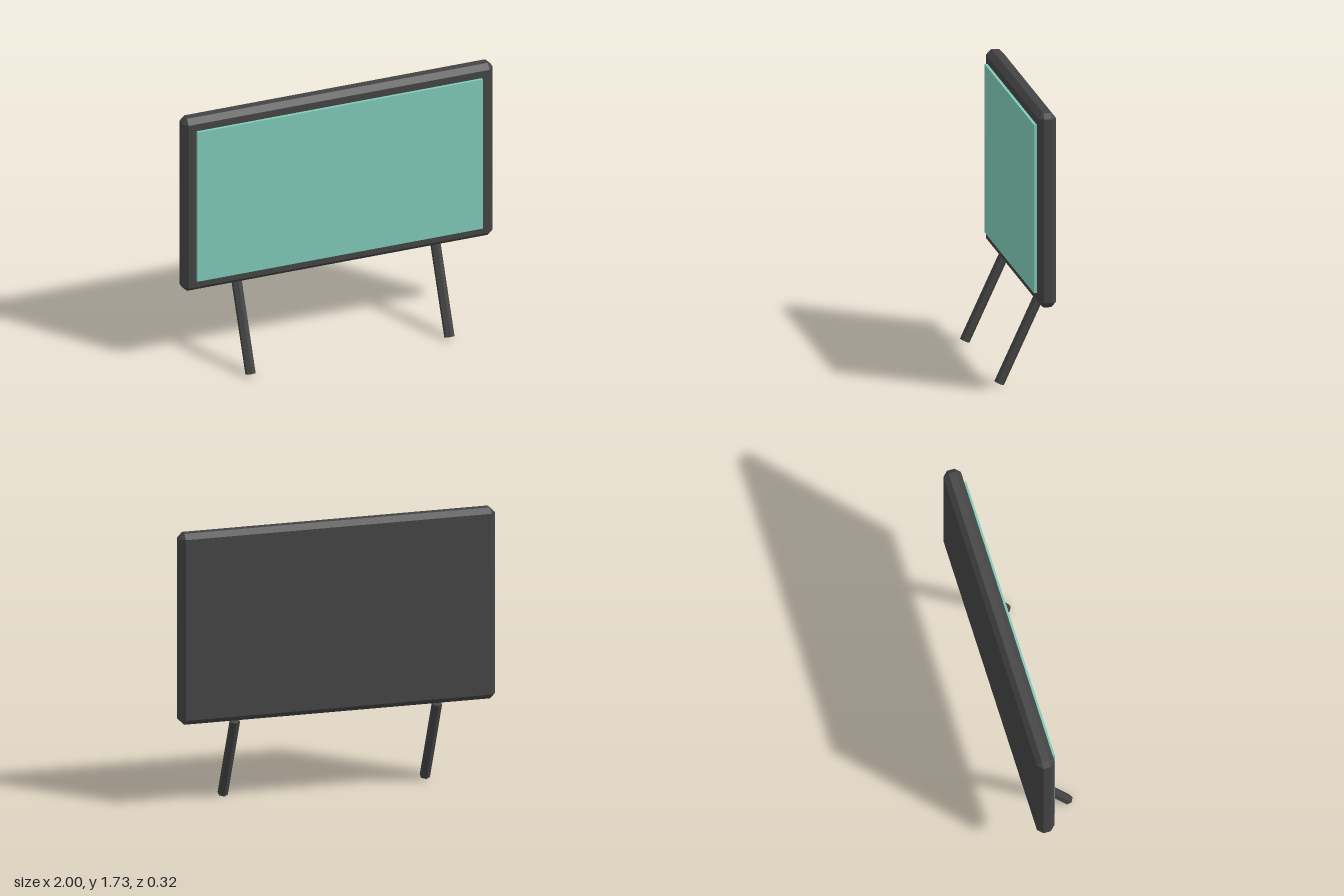
import * as THREE from 'three';
import { ConvexGeometry } from 'three/addons/geometries/ConvexGeometry.js';

// Box with chamfered edges and cut corners
function chamferBox(w, h, d, c) {
  const pts = [];
  for (const sx of [-1, 1]) for (const sy of [-1, 1]) for (const sz of [-1, 1]) {
    const x = w / 2, y = h / 2, z = d / 2;
    pts.push(
      new THREE.Vector3(sx * x, sy * (y - c), sz * (z - c)),
      new THREE.Vector3(sx * (x - c), sy * y, sz * (z - c)),
      new THREE.Vector3(sx * (x - c), sy * (y - c), sz * z)
    );
  }
  return new ConvexGeometry(pts);
}

export function createModel() {
  const group = new THREE.Group();
  const dark = new THREE.MeshStandardMaterial({ color: 0x444444, flatShading: true });
  dark.name = 'dark grey casing';
  const teal = new THREE.MeshStandardMaterial({ color: 0x80cbb9, flatShading: true });
  teal.name = 'pale teal screen';

  const add = (name, geometry, material, x, y, z) => {
    const mesh = new THREE.Mesh(geometry, material);
    mesh.name = name;
    mesh.position.set(x, y, z);
    group.add(mesh);
    return mesh;
  };

  // Panel casing and raised screen
  add('casing', chamferBox(2, 1.195, 0.11, 0.032), dark, 0, 1.137, -0.107);
  add('screen', new THREE.BoxGeometry(1.836, 1.036, 0.05), teal, 0, 1.137, -0.059);

  // Two slanted six-sided legs reaching forward to the ground
  const foot = new THREE.Vector3(0, 0.0135, 0.133);
  const hip = new THREE.Vector3(0, 0.532, -0.106);
  const span = hip.clone().sub(foot);
  const mid = foot.clone().add(hip).multiplyScalar(0.5);
  for (const [name, side] of [['leftLeg', 1], ['rightLeg', -1]]) {
    const leg = add(name, new THREE.CylinderGeometry(0.032, 0.032, span.length(), 6), dark,
      side * 0.64, mid.y, mid.z);
    leg.rotation.x = Math.atan2(span.z, span.y);
  }

  return group;
}
